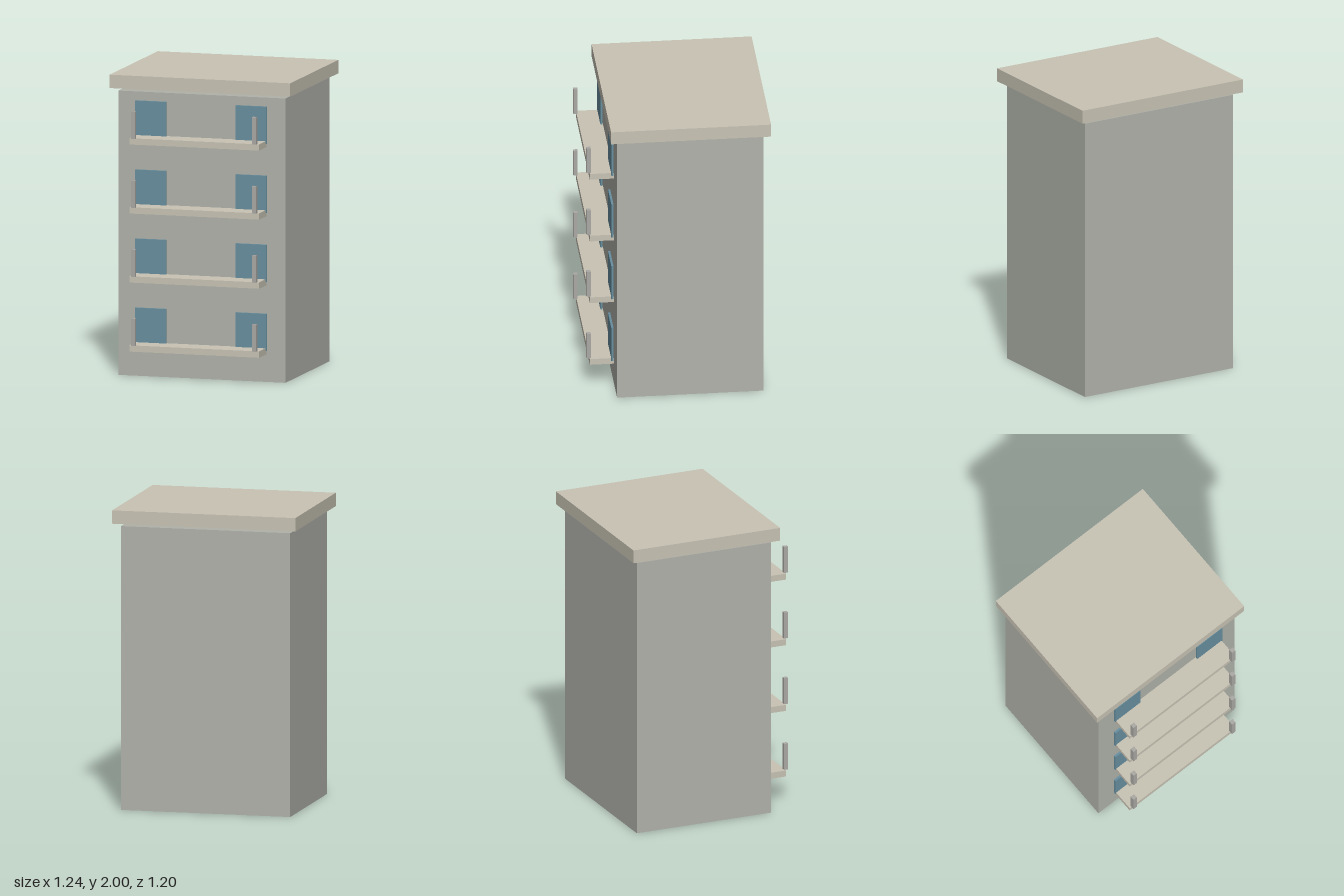
import * as THREE from 'three';

const material = (name, color) => {
  const m = new THREE.MeshStandardMaterial({ color });
  m.name = name;
  return m;
};

// Box given by its extents on each axis
function block(name, mat, [x0, x1], [y0, y1], [z0, z1]) {
  const mesh = new THREE.Mesh(new THREE.BoxGeometry(x1 - x0, y1 - y0, z1 - z0), mat);
  mesh.position.set((x0 + x1) / 2, (y0 + y1) / 2, (z0 + z1) / 2);
  mesh.name = name;
  return mesh;
}

export function createModel() {
  const wall = material('grey wall', 0xb0b2aa);
  const stone = material('beige concrete', 0xc8c3b4);
  const glass = material('blue glass', 0x688f9f);
  const rail = material('warm grey post', 0xaba9a4);

  const building = new THREE.Group();
  building.name = 'apartmentBlock';

  // Main block and the overhanging roof slab floating just above it
  building.add(block('body', wall, [-0.575, 0.575], [0, 1.89], [-0.555, 0.412]));
  building.add(block('roof', stone, [-0.622, 0.622], [1.911, 2], [-0.6, 0.457]));

  // Four identical storeys: balcony, two windows and two corner posts
  for (let i = 0; i < 4; i++) {
    const storey = new THREE.Group();
    storey.name = `storey${i + 1}`;
    storey.position.y = i * 0.459;
    storey.add(block('balcony', stone, [-0.446, 0.446], [0.185, 0.227], [0.421, 0.579]));
    for (const s of [-1, 1]) {
      const side = s > 0 ? 'left' : 'right';
      const span = (a, b) => (s > 0 ? [a, b] : [-b, -a]);
      storey.add(block(`${side}Window`, glass, span(0.24, 0.452), [0.209, 0.456], [0.423, 0.438]));
      storey.add(block(`${side}Post`, rail, span(0.403, 0.431), [0.227, 0.408], [0.571, 0.6]));
    }
    building.add(storey);
  }
  return building;
}
